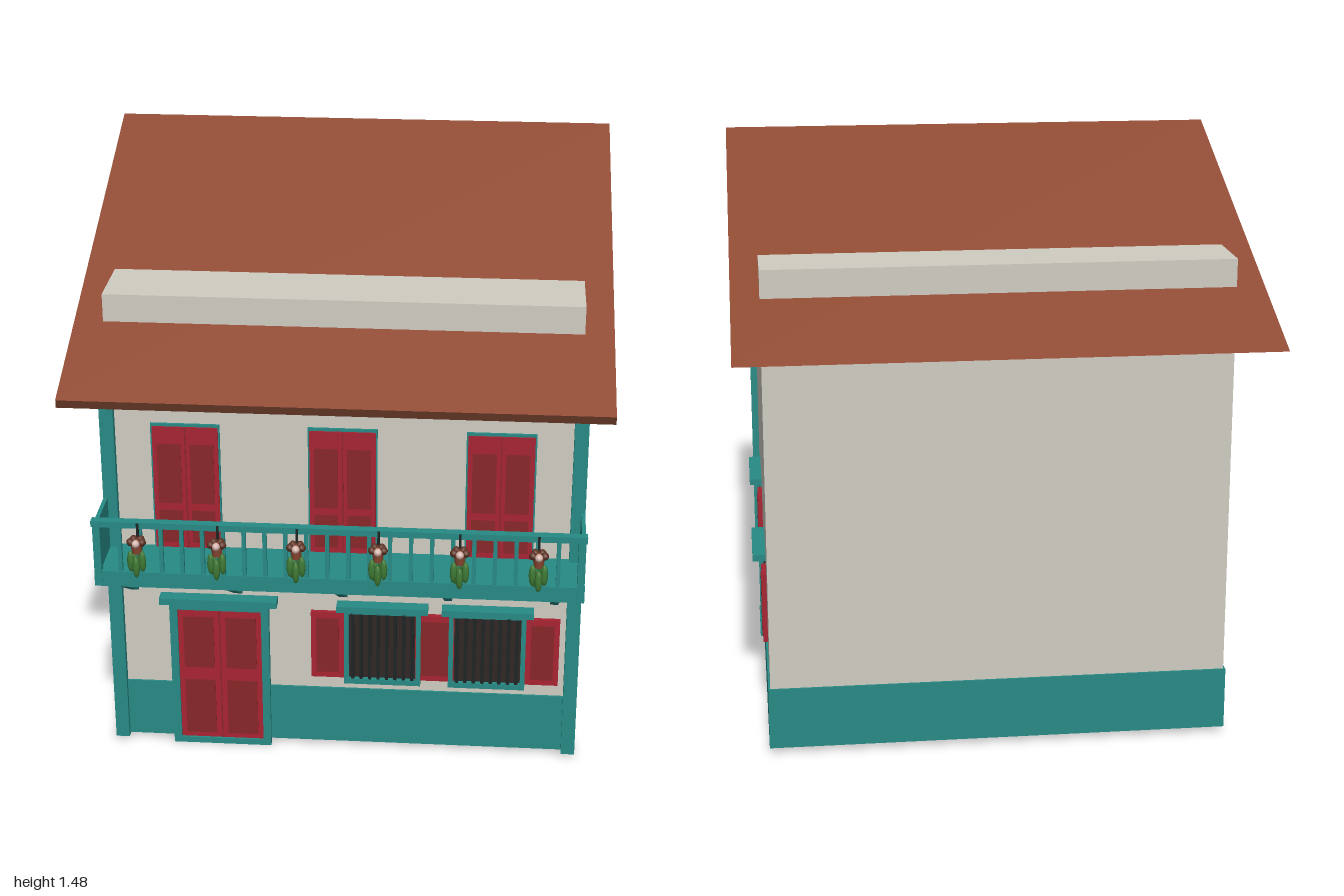
import * as THREE from 'three';

export function createModel() {
  const model = new THREE.Group();
  model.name = 'house';
  const mat = (name, color) => Object.assign(new THREE.MeshStandardMaterial({ color }), { name });
  const wall = mat('plaster', 0xd0ccc2), teal = mat('teal paint', 0x278a85);
  const red = mat('red paint', 0xa82332), darkRed = mat('dark red panel', 0x882628);
  const roofMat = mat('roof tile', 0x8f4a33), wood = mat('dark wood', 0x5e3222);
  const glass = mat('dark glass', 0x302626), iron = mat('iron', 0x1c2423);
  const green = mat('leaf green', 0x3f7a34), petal = mat('pale petal', 0xd8b8b0);

  function add(parent, name, geometry, material) {
    const m = new THREE.Mesh(geometry, material);
    m.name = name;
    parent.add(m);
    return m;
  }
  // box given by its limits on each axis
  function box(parent, name, material, x0, x1, y0, y1, z0, z1) {
    const m = add(parent, name, new THREE.BoxGeometry(x1 - x0, y1 - y0, z1 - z0), material);
    m.position.set((x0 + x1) / 2, (y0 + y1) / 2, (z0 + z1) / 2);
    return m;
  }
  function group(parent, name, x = 0, y = 0, z = 0) {
    const g = new THREE.Group();
    g.name = name;
    g.position.set(x, y, z);
    parent.add(g);
    return g;
  }

  // walls and plinth
  box(model, 'walls', wall, -0.58, 0.58, 0.017, 1.25, -0.75, 0.75);
  box(model, 'plinth', teal, -0.585, 0.585, 0.015, 0.175, -0.755, 0.755);
  for (const s of [-1, 1]) {
    const post = box(model, 'cornerPost', teal, -0.0175, 0.0175, 0.01, 1.08, 0.738, 0.768);
    post.position.x = s * 0.5825;
  }

  // gabled roof
  const gable = new THREE.Shape([
    new THREE.Vector2(-1, 1.08), new THREE.Vector2(1, 1.08), new THREE.Vector2(0, 1.48)]);
  const roofGeo = new THREE.ExtrudeGeometry(gable, { depth: 1.3, bevelEnabled: false });
  roofGeo.translate(0, 0, -0.65).rotateY(Math.PI / 2);
  add(model, 'roof', roofGeo, roofMat);

  // front eave: edge board and rafters
  const eave = group(model, 'frontEave');
  box(eave, 'eaveBoard', wood, -0.65, 0.65, 1.06, 1.081, 0.978, 0.997);
  for (let i = 0; i <= 26; i++) {
    const x = -0.637 + i * 0.049;
    box(eave, 'rafter', wood, x - 0.009, x + 0.009, 1.066, 1.081, 0.75, 0.98);
  }

  // door leaf pair with sunken-looking darker panels
  function doorPair(parent, w, y0, y1, z, rows) {
    box(parent, 'doorLeaves', red, -w / 2, w / 2, y0, y1, 0, z);
    for (const s of [-1, 1]) {
      const c = s * w * 0.25, h = w * 0.18;
      for (const [a, b] of rows) box(parent, 'doorPanel', darkRed, c - h, c + h, a, b, z - 0.001, z + 0.002);
    }
    box(parent, 'doorGap', darkRed, -0.0015, 0.0015, y0, y1, z - 0.001, z + 0.001);
  }

  // entrance
  const entrance = group(model, 'entrance', -0.318, 0, 0.75);
  for (const s of [-1, 1]) {
    const jamb = box(entrance, 'doorJamb', teal, -0.01, 0.01, 0, 0.41, 0, 0.018);
    jamb.position.x = s * 0.1175;
  }
  box(entrance, 'doorLintel', teal, -0.1275, 0.1275, 0.398, 0.42, 0, 0.018);
  box(entrance, 'doorSill', teal, -0.1275, 0.1275, 0, 0.016, 0, 0.018);
  box(entrance, 'doorHood', teal, -0.15, 0.15, 0.42, 0.438, 0, 0.035);
  doorPair(entrance, 0.218, 0.016, 0.398, 0.012, [[0.03, 0.19], [0.227, 0.376]]);

  // balcony doors
  for (const x of [-0.39, 0, 0.39]) {
    const d = group(model, 'balconyDoor', x, 0, 0.75);
    box(d, 'doorFrame', teal, -0.086, 0.086, 0.575, 0.915, 0, 0.006);
    doorPair(d, 0.164, 0.575, 0.908, 0.01, [[0.59, 0.68], [0.7, 0.862]]);
  }

  // window with frame, hood, shutters and optional bars
  function makeWindow(parent, x, z, w, shutterW, bars) {
    const g = group(parent, 'window', x, 0, z);
    const h = w / 2, t = 0.012;
    box(g, 'windowPane', glass, -h, h, 0.21, 0.41, 0, 0.006);
    for (const s of [-1, 1]) {
      const side = box(g, 'windowJamb', teal, -t / 2, t / 2, 0.2, 0.415, 0, 0.016);
      side.position.x = s * (h - t / 2);
      const shutter = group(g, 'shutter', s * (h + shutterW / 2));
      const k = shutterW / 2;
      box(shutter, 'shutterLeaf', red, -k, k, 0.212, 0.402, 0, 0.012);
      box(shutter, 'shutterPanel', darkRed, -k * 0.68, k * 0.68, 0.228, 0.386, 0.011, 0.014);
    }
    box(g, 'windowSill', teal, -h, h, 0.198, 0.212, 0, 0.018);
    box(g, 'windowHead', teal, -h, h, 0.402, 0.416, 0, 0.016);
    box(g, 'windowHood', teal, -h - 0.018, h + 0.018, 0.415, 0.432, 0, 0.034);
    for (let i = 1; i <= bars; i++) {
      const bx = -h + (w * i) / (bars + 1);
      box(g, 'windowBar', iron, bx - 0.004, bx + 0.004, 0.21, 0.404, 0.008, 0.016);
    }
    return g;
  }
  makeWindow(model, 0.1, 0.75, 0.196, 0.085, 8);
  makeWindow(model, 0.367, 0.7505, 0.196, 0.085, 8);
  const sideWall = group(model, 'sideWindows', 0.58);
  sideWall.rotation.y = Math.PI / 2;
  for (const z of [0.268, -0.366]) makeWindow(sideWall, -z, 0, 0.182, 0.076, 0);

  // balcony floor, rails, ends and balusters
  const balcony = group(model, 'balcony');
  box(balcony, 'balconyFloor', teal, -0.6, 0.6, 0.545, 0.574, 0.75, 0.918);
  box(balcony, 'bottomRail', teal, -0.6, 0.6, 0.574, 0.586, 0.903, 0.918);
  box(balcony, 'topRail', teal, -0.602, 0.602, 0.709, 0.725, 0.9, 0.922);
  for (const s of [-1, 1]) {
    const end = box(balcony, 'balconyEnd', teal, -0.005, 0.005, 0.546, 0.712, 0.75, 0.915);
    end.position.x = s * 0.594;
    const post = box(balcony, 'railPost', teal, -0.009, 0.009, 0.555, 0.722, 0.9, 0.92);
    post.position.x = s * 0.59;
  }
  for (let i = 1; i < 23; i++) {
    const x = -0.585 + i * (1.17 / 23);
    box(balcony, 'baluster', teal, x - 0.005, x + 0.005, 0.58, 0.712, 0.906, 0.916);
  }

  // diagonal brackets
  const strut = new THREE.Shape([[0.75, 0.442], [0.75, 0.46], [0.895, 0.546], [0.918, 0.546]]
    .map(([z, y]) => new THREE.Vector2(-z, y)));
  const strutGeo = new THREE.ExtrudeGeometry(strut, { depth: 0.02, bevelEnabled: false });
  strutGeo.translate(0, 0, -0.01).rotateY(Math.PI / 2);
  for (const x of [-0.535, -0.268, 0, 0.266, 0.532]) add(balcony, 'bracket', strutGeo, teal).position.x = x;

  // hanging flower pots
  const potGeo = new THREE.CylinderGeometry(0.017, 0.011, 0.034, 10);
  const budGeo = new THREE.SphereGeometry(0.01, 8, 6);
  const leafGeo = new THREE.SphereGeometry(0.009, 8, 6).scale(1, 3.2, 0.8);
  for (const x of [-0.487, -0.291, -0.098, 0.1, 0.297, 0.486]) {
    const p = group(balcony, 'flowerPot', x, 0.67, 0.94);
    add(p, 'pot', potGeo, roofMat);
    box(p, 'potHook', iron, -0.003, 0.003, 0, 0.054, -0.022, -0.016);
    for (let i = 0; i < 5; i++) {
      const a = (i / 5) * Math.PI * 2 + 0.3;
      const c = Math.cos(a), s = Math.sin(a);
      add(p, 'leaf', leafGeo, green).position.set(c * 0.015, -0.035 - (i % 2) * 0.012, 0.006 + s * 0.013);
      add(p, 'blossom', budGeo, i === 1 ? petal : wood).position.set(c * 0.015, 0.014, s * 0.014);
    }
  }
  return model;
}
